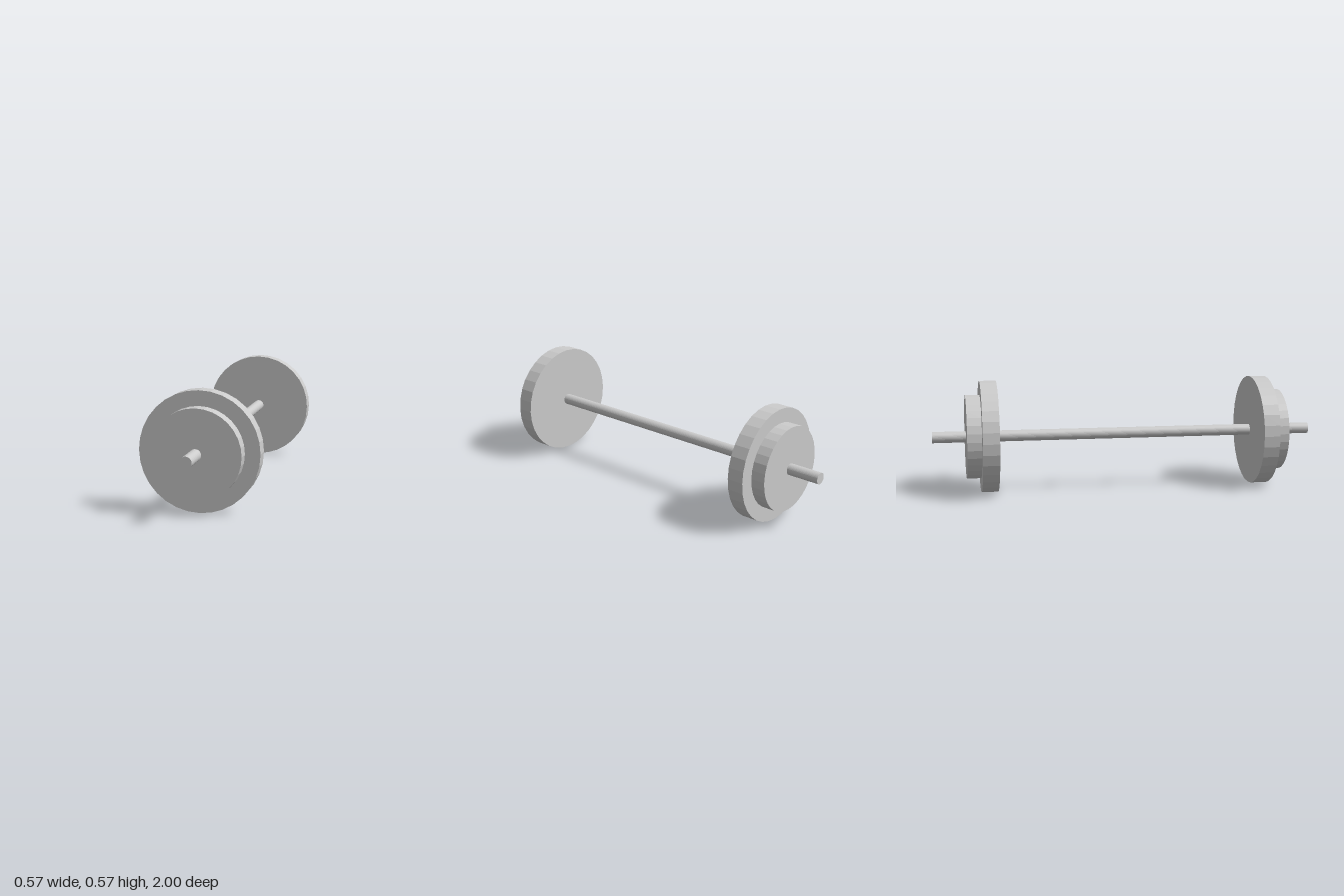
import * as THREE from 'three';

const AXIS_Y = 0.286;
const SIDES = 32;

export function createModel() {
  const group = new THREE.Group();
  group.name = 'barbell';
  const material = new THREE.MeshStandardMaterial({ color: 0xcccccc, flatShading: true });

  // Solid disc or rod lying along z between two depths
  function addRound(name, radius, z0, z1) {
    const geometry = new THREE.CylinderGeometry(radius, radius, Math.abs(z1 - z0), SIDES);
    geometry.rotateX(Math.PI / 2);
    const mesh = new THREE.Mesh(geometry, material);
    mesh.name = name;
    mesh.position.set(0, AXIS_Y, (z0 + z1) / 2);
    group.add(mesh);
  }

  // Bar through the full length
  addRound('bar', 0.0286, -1, 1);

  // A large inner and a small outer plate at each end
  for (const [end, s] of [['front', 1], ['back', -1]]) {
    addRound(end + 'LargePlate', 0.286, s * 0.673, s * 0.757);
    addRound(end + 'SmallPlate', 0.214, s * 0.757, s * 0.83);
  }
  return group;
}
